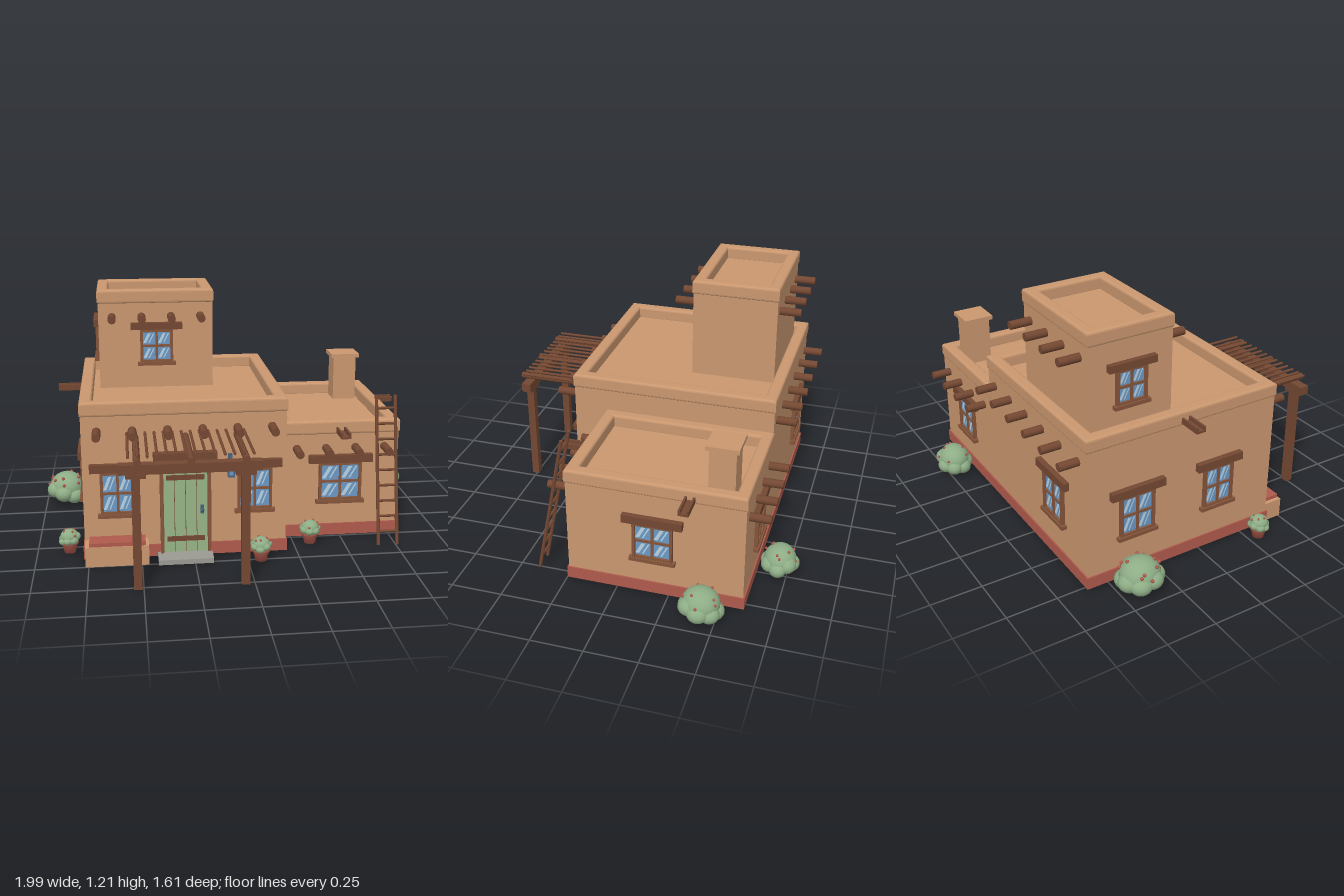
import * as THREE from 'three';

const mat = (name, color, side = THREE.FrontSide) => {
  const m = new THREE.MeshStandardMaterial({ color, side });
  m.name = name;
  return m;
};

export function createModel() {
  const adobe = mat('adobe', 0xc9976f), wood = mat('wood', 0x744832), frameWood = mat('frameWood', 0x85543a);
  const clay = mat('redClay', 0xb05a4c), leaf = mat('leaf', 0x8ead86), doorGreen = mat('doorGreen', 0x98b588);
  const glass = mat('glass', 0x6b98c4), glint = mat('glint', 0xb9d3e4, THREE.DoubleSide);
  const stone = mat('stone', 0x9b9a92), iron = mat('iron', 0x48607a);
  const root = new THREE.Group();
  root.name = 'adobeHouse';

  let seed = 7;
  const rand = () => (seed = (seed * 16807) % 2147483647) / 2147483647;
  const add = (parent, name, geo, m, x = 0, y = 0, z = 0) => {
    const mesh = new THREE.Mesh(geo, m);
    mesh.name = name;
    mesh.position.set(x, y, z);
    parent.add(mesh);
    return mesh;
  };
  const group = (name, x = 0, y = 0, z = 0, ry = 0) => {
    const g = new THREE.Group();
    g.name = name;
    g.position.set(x, y, z);
    g.rotation.y = ry;
    root.add(g);
    return g;
  };
  // Box given by its minimum and maximum corners
  const box = (parent, name, m, x0, x1, y0, y1, z0, z1) =>
    add(parent, name, new THREE.BoxGeometry(x1 - x0, y1 - y0, z1 - z0), m, (x0 + x1) / 2, (y0 + y1) / 2, (z0 + z1) / 2);
  // Round log running along z
  const log = (parent, name, r, x, y, z0, z1, m = wood) =>
    add(parent, name, new THREE.CylinderGeometry(r, r, z1 - z0, 12).rotateX(Math.PI / 2), m, x, y, (z0 + z1) / 2);
  const rectPoints = (x0, x1, z0, z1) =>
    [[x0, -z1], [x1, -z1], [x1, -z0], [x0, -z0]].map(p => new THREE.Vector2(...p));

  // Walls with a soft-edged parapet ring around a sunken roof
  function block(name, x0, x1, z0, z1, y0, y1, rim) {
    const g = group(name), b = 0.012, i = 0.005, h = 0.07;
    box(g, 'walls', adobe, x0 + i, x1 - i, y0, y1 - 0.06, z0 + i, z1 - i);
    const shape = new THREE.Shape(rectPoints(x0, x1, z0, z1));
    shape.holes.push(new THREE.Path(rectPoints(x0 + rim, x1 - rim, z0 + rim, z1 - rim)));
    const geo = new THREE.ExtrudeGeometry(shape, {
      depth: h - 2 * b, bevelEnabled: true, bevelSize: b, bevelThickness: b, bevelOffset: -b, bevelSegments: 3,
    }).rotateX(-Math.PI / 2);
    add(g, 'parapet', geo, adobe, 0, y1 - h + b, 0);
    if (y0 === 0) box(g, 'baseBand', clay, x0 - 0.002, x1 + 0.002, 0.003, 0.063, z0 - 0.002, z1 + 0.002);
  }
  block('mainBlock', -0.773, 0.2, -0.607, 0.413, 0, 0.77, 0.06);
  block('sideWing', 0.19, 0.792, -0.607, 0.245, 0, 0.6, 0.06);
  block('tower', -0.685, -0.1, -0.545, -0.113, 0.7, 1.21, 0.057);

  // Chimney
  const chimney = group('chimney');
  box(chimney, 'chimneyStack', adobe, 0.593, 0.717, 0.53, 0.777, -0.533, -0.41);
  box(chimney, 'chimneyCap', adobe, 0.578, 0.732, 0.775, 0.796, -0.548, -0.395);

  // Roof logs poking out at front and back
  const logs = group('roofLogs');
  for (let i = 0; i < 6; i++) log(logs, 'mainRoofLog', 0.02, -0.695 + i * 0.164, 0.632, -0.7, 0.52);
  for (let i = 0; i < 4; i++) {
    log(logs, 'wingRoofLog', 0.02, 0.275 + i * 0.147, 0.462, -0.7, 0.35);
    log(logs, 'towerRoofLog', 0.02, -0.612 + i * 0.148, 1.075, -0.645, -0.015);
  }

  // Open drain spouts
  function spout(x, y, z, ry) {
    const g = group('drainSpout', x, y, z, ry);
    box(g, 'spoutFloor', wood, -0.023, 0.023, -0.014, -0.004, -0.03, 0.117);
    for (const s of [-1, 1]) box(g, 'spoutSide', wood, s * 0.019 - 0.005, s * 0.019 + 0.005, -0.014, 0.014, -0.03, 0.117);
  }
  spout(-0.77, 0.727, -0.098, -Math.PI / 2);
  spout(0.79, 0.553, -0.348, Math.PI / 2);
  spout(0.495, 0.553, 0.245, 0);

  // Window facing +z before turning; y0..y1 spans the frame
  function win(x, z, ry, y0, y1, w, lintelW, lintelH = 0.04) {
    const g = group('window', x, 0, z, ry), h = w / 2, t = 0.014, mid = (y0 + y1) / 2;
    box(g, 'lintel', wood, -lintelW / 2, lintelW / 2, y1, y1 + lintelH, -0.02, 0.025);
    box(g, 'sill', frameWood, -h - 0.014, h + 0.014, y0 - 0.014, y0 + 0.004, -0.02, 0.024);
    box(g, 'glassPane', glass, -h + 0.005, h - 0.005, y0, y1, -0.003, 0.004);
    for (const s of [-1, 1]) box(g, 'frameSide', frameWood, s * (h - t / 2) - t / 2, s * (h - t / 2) + t / 2, y0, y1, -0.01, 0.016);
    box(g, 'frameTop', frameWood, -h, h, y1 - t, y1, -0.01, 0.015);
    box(g, 'frameBottom', frameWood, -h, h, y0, y0 + t, -0.01, 0.015);
    box(g, 'uprightBar', frameWood, -0.006, 0.006, y0, y1, -0.01, 0.012);
    box(g, 'crossBar', frameWood, -h, h, mid - 0.006, mid + 0.006, -0.01, 0.011);
    // Slanted reflections in the four panes
    const pw = h - t - 0.006, ph = (y1 - y0) / 2 - t - 0.006;
    for (const sx of [-1, 1]) for (const sy of [-1, 1]) {
      const cx = sx * (0.006 + pw / 2), cy = mid + sy * (0.006 + ph / 2);
      for (const [o, d] of [[-0.3, 0.24], [0.12, 0.1]]) {
        const corners = [[o - 0.2, -0.38], [o - 0.2 + d, -0.38], [o + 0.2 + d, 0.38], [o + 0.2, 0.38]];
        const s = new THREE.Shape(corners.map(([u, v]) => new THREE.Vector2(u * pw, v * ph)));
        add(g, 'reflection', new THREE.ShapeGeometry(s), glint, cx, cy, 0.0055);
      }
    }
  }
  const L = -Math.PI / 2, R = Math.PI / 2, B = Math.PI;
  win(-0.605, 0.41, 0, 0.225, 0.435, 0.165, 0.26);
  win(0.043, 0.41, 0, 0.225, 0.435, 0.165, 0.26);
  win(0.495, 0.242, 0, 0.19, 0.388, 0.215, 0.32);
  win(-0.39, -0.117, 0, 0.84, 1.01, 0.165, 0.26, 0.035);
  win(0.789, -0.175, R, 0.195, 0.385, 0.19, 0.285);
  win(-0.77, -0.35, L, 0.225, 0.435, 0.18, 0.28);
  win(-0.77, 0.095, L, 0.225, 0.435, 0.165, 0.25);
  win(-0.682, -0.33, L, 0.84, 1.01, 0.155, 0.24, 0.035);
  win(-0.475, -0.604, B, 0.225, 0.435, 0.18, 0.27);
  win(0.49, -0.604, B, 0.195, 0.385, 0.18, 0.27);

  // Plank door with straps, handle and step
  const door = group('door', -0.288, 0, 0.41);
  box(door, 'doorLintel', wood, -0.15, 0.15, 0.483, 0.525, -0.02, 0.035);
  box(door, 'doorBacking', wood, -0.115, 0.115, 0.02, 0.483, -0.01, 0.008);
  for (const s of [-1, 1]) box(door, 'doorJamb', frameWood, s * 0.113 - 0.008, s * 0.113 + 0.008, 0.02, 0.483, -0.01, 0.025);
  box(door, 'doorHead', frameWood, -0.12, 0.12, 0.468, 0.483, -0.01, 0.024);
  for (let i = 0; i < 4; i++) {
    const x = -0.105 + i * 0.0525;
    box(door, 'doorPlank', doorGreen, x + 0.0015, x + 0.051, 0.025, 0.468, 0, 0.015);
  }
  for (const y of [0.093, 0.4]) box(door, 'doorStrap', wood, -0.09, 0.09, y - 0.012, y + 0.012, 0.01, 0.021);
  box(door, 'handlePlate', iron, 0.071, 0.087, 0.215, 0.26, 0.01, 0.019);
  add(door, 'doorKnob', new THREE.SphereGeometry(0.009, 10, 8), iron, 0.079, 0.236, 0.027);
  box(door, 'doorStep', stone, -0.135, 0.125, 0, 0.024, 0, 0.11);

  // Pergola over the entrance
  const pergola = group('pergola');
  for (const x of [-0.525, -0.043]) {
    box(pergola, 'post', wood, x - 0.019, x + 0.019, 0, 0.535, 0.736, 0.774);
    box(pergola, 'postCap', wood, x - 0.045, x + 0.045, 0.52, 0.54, 0.732, 0.778);
  }
  box(pergola, 'frontBeam', wood, -0.6, 0.03, 0.538, 0.582, 0.728, 0.776);
  for (const x of [-0.518, -0.284, -0.043]) log(pergola, 'rafter', 0.016, x, 0.598, 0.4, 0.8);
  for (let i = 0; i < 14; i++) log(pergola, 'roofStick', 0.0065, -0.556 + i * 0.042, 0.62, 0.4, 0.782);

  // Built-in bench
  const bench = group('bench');
  box(bench, 'benchBase', adobe, -0.765, -0.467, 0, 0.097, 0.4, 0.505);
  box(bench, 'benchSeat', clay, -0.745, -0.482, 0.097, 0.115, 0.41, 0.5);

  // Ladder leaning on the wing
  const ladder = group('ladder', 0.709, 0, 0.405);
  ladder.rotation.x = -Math.atan2(0.145, 0.725);
  for (const s of [-1, 1]) add(ladder, 'ladderRail', new THREE.CylinderGeometry(0.0085, 0.0085, 0.74, 8), wood, s * 0.047, 0.372, 0);
  for (let i = 0; i < 9; i++)
    add(ladder, 'ladderRung', new THREE.CylinderGeometry(0.0065, 0.0065, 0.1, 8).rotateZ(Math.PI / 2), wood, 0, 0.07 + i * 0.076, 0);

  // Hanging lantern beside the door
  const lantern = group('lantern', -0.075, 0, 0.463);
  box(lantern, 'lanternArm', iron, -0.005, 0.005, 0.485, 0.495, -0.055, 0.006);
  box(lantern, 'lanternPlate', iron, -0.01, 0.01, 0.46, 0.505, -0.055, -0.045);
  box(lantern, 'lanternHook', iron, -0.003, 0.003, 0.465, 0.487, -0.003, 0.003);
  add(lantern, 'lanternRoof', new THREE.ConeGeometry(0.022, 0.02, 8), iron, 0, 0.468, 0);
  box(lantern, 'lanternBody', glass, -0.012, 0.012, 0.415, 0.458, -0.012, 0.012);
  box(lantern, 'lanternFoot', iron, -0.016, 0.016, 0.408, 0.416, -0.016, 0.016);
  for (const x of [-0.012, 0.012]) for (const z of [-0.012, 0.012])
    box(lantern, 'lanternBar', iron, x - 0.003, x + 0.003, 0.412, 0.46, z - 0.003, z + 0.003);

  // Lumpy shrub of overlapping balls with small blossoms
  function shrub(parent, x, y, z, rx, ry, rz, blossoms, dot) {
    const g = new THREE.Group();
    g.name = 'shrub';
    g.position.set(x, y, z);
    parent.add(g);
    const ball = (name, m, px, py, pz, r) =>
      add(g, name, new THREE.SphereGeometry(r, 16, 12), m, px * rx, py * ry, pz * rz).scale.set(rx, ry, rz);
    ball('foliage', leaf, 0, 0.12, 0, 0.82);
    for (let i = 0; i < 7; i++) {
      const a = i / 7 * Math.PI * 2, r = 0.42 + rand() * 0.06;
      ball('foliage', leaf, Math.cos(a) * (1 - r), -0.35 + rand() * 0.5, Math.sin(a) * (1 - r), r);
    }
    for (let i = 0; i < blossoms; i++) {
      const a = i * 2.4 + rand(), e = 0.15 + rand() * 0.9, c = Math.cos(e) * 0.86;
      add(g, 'blossom', new THREE.SphereGeometry(dot, 8, 6), clay, Math.cos(a) * c * rx, (0.12 + Math.sin(e) * 0.82) * ry, Math.sin(a) * c * rz);
    }
  }
  const garden = group('garden');
  shrub(garden, -0.888, 0.078, -0.405, 0.112, 0.1, 0.12, 12, 0.009);
  shrub(garden, 0.895, 0.072, -0.43, 0.105, 0.092, 0.11, 8, 0.007);
  shrub(garden, 0.473, 0.07, -0.712, 0.107, 0.088, 0.095, 8, 0.007);

  // Potted plants
  const potProfile = [[0, 0], [0.027, 0], [0.038, 0.045], [0.043, 0.045], [0.043, 0.058], [0.034, 0.058], [0, 0.052]]
    .map(p => new THREE.Vector2(...p));
  for (const [x, z] of [[-0.845, 0.305], [0.062, 0.508], [0.332, 0.325]]) {
    const p = group('pottedPlant', x, 0, z);
    add(p, 'pot', new THREE.LatheGeometry(potProfile, 20), clay);
    shrub(p, 0, 0.075, 0, 0.054, 0.044, 0.054, 6, 0.006);
  }
  return root;
}
